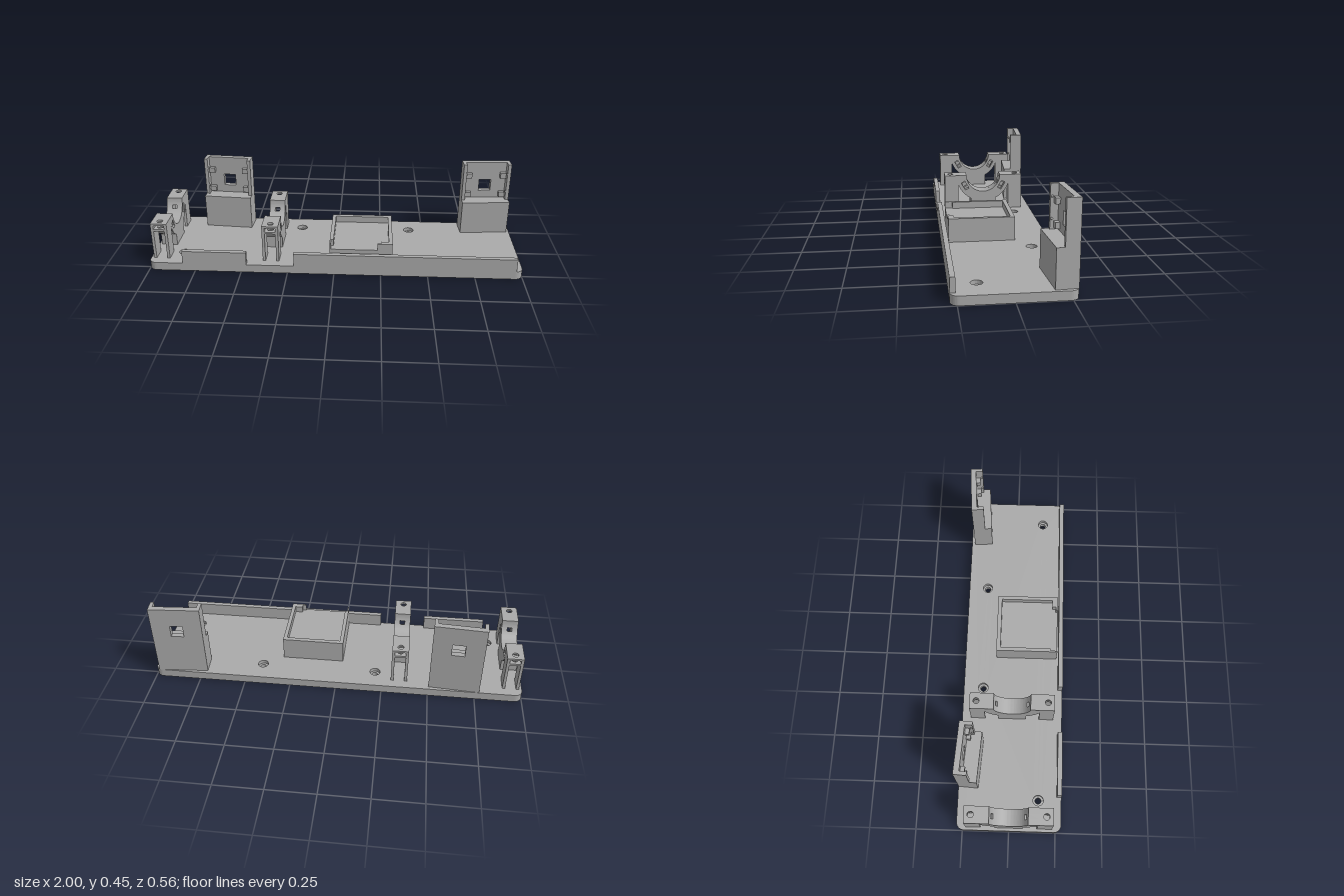
import * as THREE from 'three';
import { toCreasedNormals } from 'three/addons/utils/BufferGeometryUtils.js';

const grey = new THREE.MeshStandardMaterial({ color: 0xaaaaaa });
grey.name = 'matte grey';
const DECK = 0.045; // top of the base plate

function add(parent, name, geo) {
  const mesh = new THREE.Mesh(geo, grey);
  mesh.name = name;
  parent.add(mesh);
  return mesh;
}

// Box given by its limits
function box(parent, name, x0, x1, y0, y1, z0, z1) {
  const geo = new THREE.BoxGeometry(x1 - x0, y1 - y0, z1 - z0);
  geo.translate((x0 + x1) / 2, (y0 + y1) / 2, (z0 + z1) / 2);
  return add(parent, name, geo);
}

function extrude(shape, depth) {
  return new THREE.ExtrudeGeometry(shape, { depth, bevelEnabled: false, curveSegments: 24 });
}

// Plan shape drawn in (x, -z), raised from y0 to y1
function slab(parent, name, shape, y0, y1) {
  const geo = extrude(shape, y1 - y0).rotateX(-Math.PI / 2).translate(0, y0, 0);
  return add(parent, name, toCreasedNormals(geo, 0.5));
}

// Side shape drawn in (-z, y), extruded from x0 to x1
function sideSlab(parent, name, shape, x0, x1) {
  const geo = extrude(shape, x1 - x0).rotateY(Math.PI / 2).translate(x0, 0, 0);
  return add(parent, name, toCreasedNormals(geo, 0.5));
}

function polygon(points) {
  return new THREE.Shape(points.map(([x, y]) => new THREE.Vector2(x, y)));
}

function rectangle(x0, x1, y0, y1) {
  return polygon([[x0, y0], [x1, y0], [x1, y1], [x0, y1]]);
}

function roundHole(shape, x, y, r) {
  shape.holes.push(new THREE.Path().absarc(x, y, r, 0, Math.PI * 2, true));
  return shape;
}

// Base plate with rounded corners and stepped screw holes
function plateShape(holeRadius) {
  const w = 1, d = 0.28, r = 0.04, s = new THREE.Shape();
  s.absarc(w - r, d - r, r, 0, Math.PI / 2);
  s.absarc(-w + r, d - r, r, Math.PI / 2, Math.PI);
  s.absarc(-w + r, -d + r, r, Math.PI, Math.PI * 1.5);
  s.absarc(w - r, -d + r, r, Math.PI * 1.5, Math.PI * 2);
  for (const [x, z] of [[-0.21, -0.17], [0.415, -0.17], [-0.835, 0.155], [0.86, 0.155]]) {
    roundHole(s, x, -z, holeRadius);
  }
  return s;
}

// Slice of the half-round saddle between two angles
const RIM = 0.252, INNER = 0.1, OUTER = 0.16;
function saddleShape(a0, a1) {
  const s = new THREE.Shape();
  s.absarc(0, RIM, OUTER, a0, a1, false);
  s.absarc(0, RIM, INNER, a1, a0, true);
  s.closePath();
  return s;
}

function makeCradle() {
  const g = new THREE.Group();
  g.name = 'cradle';
  const w = 0.044, neck = 0.013;
  const boltAngles = [Math.PI * 7 / 6, Math.PI * 11 / 6];

  // Saddle in three layers: plain, split for radial bolts, slotted for nuts
  sideSlab(g, 'saddlePlainSide', saddleShape(Math.PI, Math.PI * 2), -w, -neck);
  const cuts = [Math.PI, ...boltAngles.flatMap(a => [a - 0.1, a + 0.1]), Math.PI * 2];
  for (let i = 0; i < cuts.length; i += 2) {
    sideSlab(g, 'saddleMiddle', saddleShape(cuts[i], cuts[i + 1]), -neck, neck);
  }
  const slotted = saddleShape(Math.PI, Math.PI * 2);
  for (const a of boltAngles) {
    const corner = ([r, t]) => new THREE.Vector2(
      r * Math.cos(a) - t * Math.sin(a), RIM + r * Math.sin(a) + t * Math.cos(a));
    const pts = [[0.114, -0.025], [0.114, 0.025], [0.138, 0.025], [0.138, -0.025]];
    slotted.holes.push(new THREE.Path(pts.map(corner)));
  }
  sideSlab(g, 'saddleSlottedSide', slotted, neck, w);
  box(g, 'saddlePedestal', -w, w, DECK, 0.115, -0.075, 0.075);

  // Forked post with a nut pocket and screw hole at each end
  for (const turn of [0, Math.PI]) {
    const post = new THREE.Group();
    post.name = 'forkedPost';
    post.rotation.y = turn;
    for (const s of [-1, 1]) {
      const a = s * w, b = s * 0.029;
      box(post, 'postLeg', Math.min(a, b), Math.max(a, b), DECK, RIM, 0.15, 0.23);
    }
    const cap = () => roundHole(rectangle(-0.029, 0.029, -0.23, -0.15), 0, -0.195, 0.016);
    slab(post, 'pocketFloor', cap(), 0.208, 0.219);
    slab(post, 'postCap', cap(), 0.241, RIM);
    g.add(post);
  }
  return g;
}

// Upright tray with a window; local z = 0 is its back
function makeTower() {
  const g = new THREE.Group();
  g.name = 'panelHolder';
  const w = 0.135, step = 0.236, top = 0.453;
  box(g, 'holderFoot', -w, w, DECK, step, 0, 0.107);

  const back = rectangle(-w, w, step, top);
  back.holes.push(rectangle(-0.034, 0.034, 0.28, 0.348));
  add(g, 'windowPlate', extrude(back, 0.03));

  for (const s of [-1, 1]) {
    const a = s * w, b = s * 0.116;
    box(g, 'trayWall', Math.min(a, b), Math.max(a, b), step, top, 0.03, 0.068);
    for (const y of [0.262, 0.378]) {
      box(g, 'standoff', s * 0.097 - 0.016, s * 0.097 + 0.016, y - 0.015, y + 0.015, 0.03, 0.052);
    }
    for (const y of [0.287, 0.393]) {
      add(g, 'snapBump', new THREE.SphereGeometry(0.006, 12, 8).translate(b, y, 0.06));
    }
  }
  return g;
}

export function createModel() {
  const model = new THREE.Group();
  model.name = 'mountingBase';

  slab(model, 'basePlateLower', plateShape(0.016), 0, 0.025);
  slab(model, 'basePlateUpper', plateShape(0.028), 0.025, DECK);

  // Front lips
  box(model, 'frontLipShort', -0.815, -0.47, DECK, 0.117, 0.255, 0.28);
  box(model, 'frontLipLong', -0.215, 0.965, DECK, 0.117, 0.255, 0.28);

  // Raised tray with a rim open at the front
  box(model, 'trayBlock', -0.025, 0.31, DECK, 0.135, -0.1, 0.245);
  slab(model, 'trayRim', polygon([
    [-0.025, 0.1], [-0.025, -0.245], [-0.018, -0.245], [-0.018, -0.205], [-0.005, -0.205],
    [-0.005, 0.077], [0.29, 0.077], [0.29, -0.215], [0.25, -0.215], [0.25, -0.235],
    [0.23, -0.235], [0.23, -0.245], [0.31, -0.245], [0.31, 0.1],
  ]), 0.135, 0.171);

  for (const x of [-0.94, -0.343]) {
    const cradle = makeCradle();
    cradle.position.x = x;
    model.add(cradle);
  }

  for (const [x, turn] of [[-0.637, -0.067], [0.843, 0.067]]) {
    const tower = makeTower();
    tower.position.set(x, 0, -0.27);
    tower.rotation.y = turn;
    model.add(tower);
  }
  return model;
}
